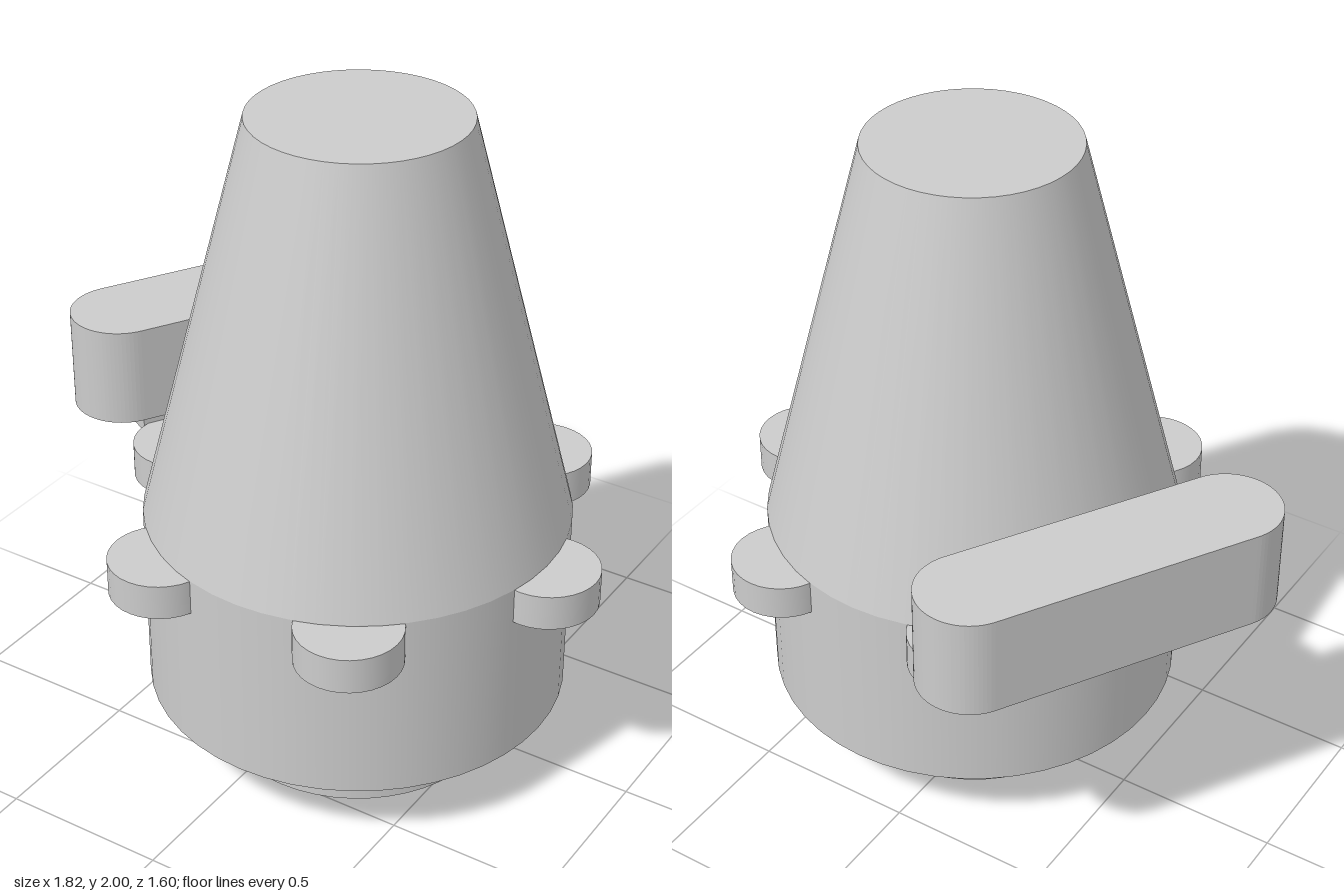
import * as THREE from 'three';

const material = new THREE.MeshStandardMaterial({ color: 0xcccccc });

function part(name, geometry, x, y, z) {
  const mesh = new THREE.Mesh(geometry, material);
  mesh.name = name;
  mesh.position.set(x, y, z);
  return mesh;
}

// upright cylinder or cone between two heights
function drum(name, rTop, rBottom, y0, y1, x = 0, z = 0, sides = 48) {
  return part(name, new THREE.CylinderGeometry(rTop, rBottom, y1 - y0, sides), x, (y0 + y1) / 2, z);
}

// flat bar with round ends, lying along x and rising from y = 0
function roundedBar(halfLength, radius, height) {
  const shape = new THREE.Shape();
  shape.absarc(halfLength, 0, radius, -Math.PI / 2, Math.PI / 2, false);
  shape.absarc(-halfLength, 0, radius, Math.PI / 2, Math.PI * 1.5, false);
  shape.closePath();
  return new THREE.ExtrudeGeometry(shape, { depth: height, bevelEnabled: false, curveSegments: 20 })
    .rotateX(-Math.PI / 2);
}

export function createModel() {
  const model = new THREE.Group();
  model.name = 'model';

  // everything is laid out around the body's axis
  const body = new THREE.Group();
  body.name = 'body';
  body.position.set(0.12, 0, 0.1);
  model.add(body);

  const R = 0.63;
  body.add(drum('base', 0.423, 0.423, 0, 0.2));
  body.add(drum('barrel', R, R, 0.2, 0.775));
  body.add(drum('taperedTop', 0.315, R, 0.775, 2));

  // six round lugs set into the rim
  for (let i = 0; i < 6; i++) {
    const a = (i * Math.PI) / 3;
    body.add(drum('lug', 0.155, 0.155, 0.665, 0.773, R * Math.cos(a), R * Math.sin(a), 32));
  }

  // side handle, tangent to the barrel, with a narrow rail beneath
  const handle = new THREE.Group();
  handle.name = 'handle';
  handle.rotation.y = Math.PI / 3;
  handle.add(part('handleBar', roundedBar(0.404, 0.155, 0.31), 0, 0.825, -0.787));
  handle.add(part('handleRail', new THREE.BoxGeometry(0.77, 0.08, 0.105), 0, 0.785, -0.742));
  body.add(handle);

  return model;
}
